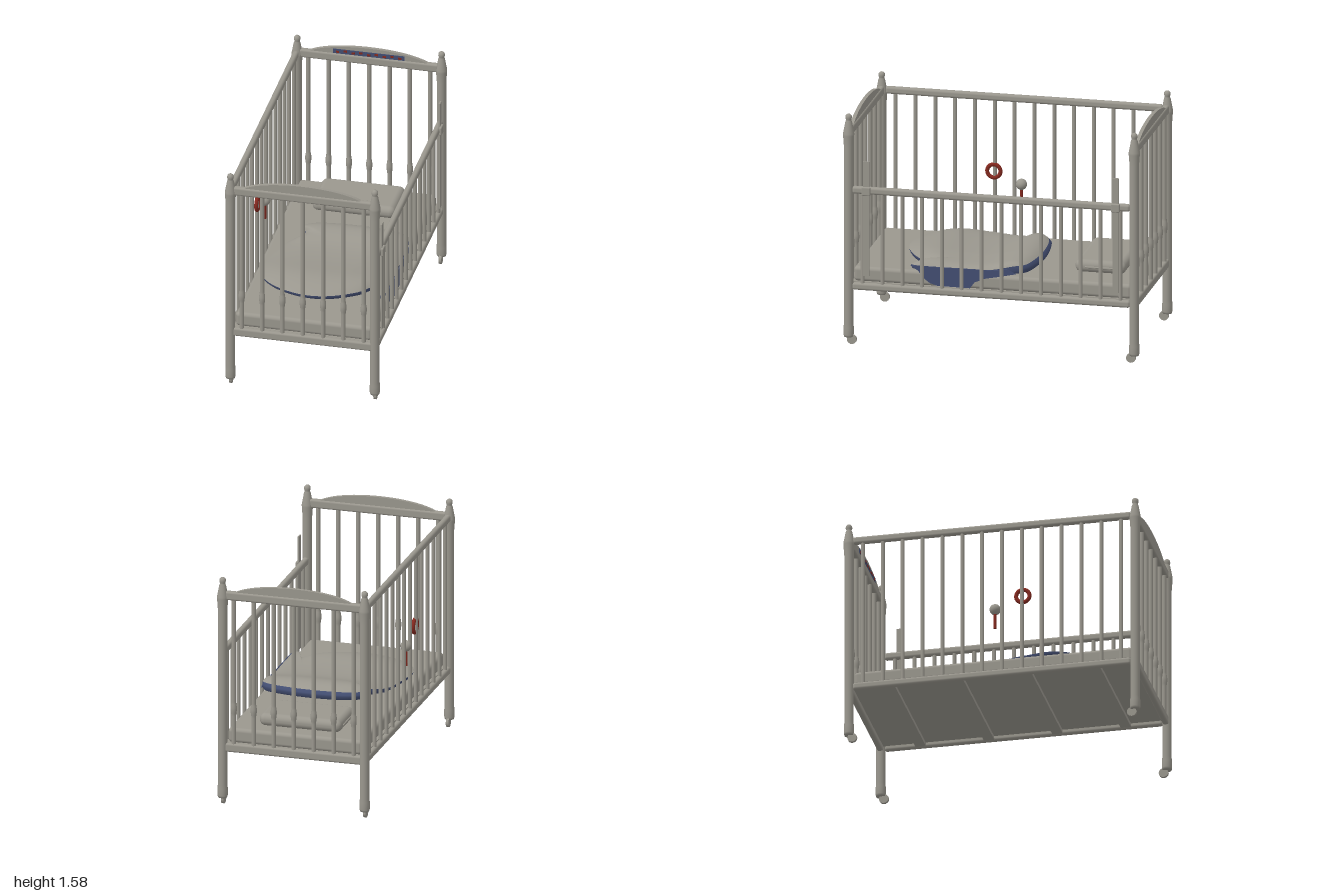
import * as THREE from 'three';
import { RoundedBoxGeometry } from 'three/addons/geometries/RoundedBoxGeometry.js';

const mat = (name, color, side = THREE.FrontSide) => {
  const m = new THREE.MeshStandardMaterial({ color, side });
  m.name = name;
  return m;
};

export function createModel() {
  const grey = mat('warm grey', 0x9a978e, THREE.DoubleSide);
  const blue = mat('blanket blue', 0x434e72, THREE.DoubleSide);
  const red = mat('toy red', 0x84291f);
  const crib = new THREE.Group();
  crib.name = 'crib';

  const add = (name, geo, material, x = 0, y = 0, z = 0, parent = crib) => {
    const m = new THREE.Mesh(geo, material);
    m.name = name;
    m.position.set(x, y, z);
    parent.add(m);
    return m;
  };
  const rounded = (w, h, d, r) => new RoundedBoxGeometry(w, h, d, 3, r);
  const lathe = (pts, n = 16) => new THREE.LatheGeometry(pts.map(p => new THREE.Vector2(...p)), n);

  // Corner posts with finials, on small casters
  const postGeo = lathe([[0, 0.05], [0.03, 0.05], [0.034, 0.065], [0.034, 0.115], [0.031, 0.14], [0.031, 0.7],
    [0.031, 1.35], [0.037, 1.43], [0.037, 1.445], [0.022, 1.525], [0.018, 1.532], [0.018, 1.54],
    [0.022, 1.55], [0.021, 1.565], [0.012, 1.575], [0, 1.577]], 20);
  const wheelGeo = new THREE.CylinderGeometry(0.032, 0.032, 0.018, 20).rotateZ(Math.PI / 2);
  for (const sx of [-1, 1]) for (const sz of [-1, 1]) {
    add('post', postGeo, grey, sx * 0.487, 0, sz * 0.962);
    add('casterWheel', wheelGeo, grey, sx * 0.487, 0.032, sz * 0.94);
  }

  // End panels: rails, arched crest and turned spindles
  const spindleGeo = lathe([[0.015, 0.42], [0.015, 0.62], [0.018, 0.64], [0.021, 0.66], [0.021, 0.68],
    [0.017, 0.705], [0.015, 0.72], [0.015, 1.43]], 12);
  const crest = new THREE.Shape();
  crest.moveTo(-0.41, 1.475);
  crest.lineTo(0.41, 1.475);
  crest.bezierCurveTo(0.25, 1.569, -0.25, 1.569, -0.41, 1.475);
  const crestGeo = new THREE.ExtrudeGeometry(crest, { depth: 0.024, bevelEnabled: false, curveSegments: 28 });
  for (const sz of [-1, 1]) {
    const end = new THREE.Group();
    end.name = sz > 0 ? 'footEnd' : 'headEnd';
    end.position.z = sz * 0.96;
    crib.add(end);
    add('topRail', rounded(0.94, 0.06, 0.04, 0.014), grey, 0, 1.455, 0, end);
    add('bottomRail', rounded(0.94, 0.06, 0.04, 0.014), grey, 0, 0.4, 0, end);
    add('crest', crestGeo, grey, 0, 0, -0.012, end);
    for (let i = -3; i <= 3; i++) add('spindle', spindleGeo, grey, i * 0.137, 0, 0, end);
  }

  // Painted band inside the head crest, with red dots
  add('crestBand', new THREE.BoxGeometry(0.48, 0.032, 0.004), blue, 0, 1.502, -0.946);
  for (let i = 0; i < 9; i++)
    add('crestDot', new THREE.BoxGeometry(0.022, 0.014, 0.004), red, -0.21 + i * 0.0525, 1.502 + (i % 2 ? 0.005 : -0.003), -0.943);

  // Side panels: fixed on the right, dropped on the left
  for (const sx of [-1, 1]) {
    const side = new THREE.Group();
    side.name = sx > 0 ? 'dropSide' : 'fixedSide';
    side.position.x = sx * 0.487;
    crib.add(side);
    const top = sx > 0 ? 1.06 : 1.455;
    add('sideTopRail', rounded(0.04, 0.05, 1.87, 0.017), grey, 0, top, 0, side);
    add('sideBottomRail', rounded(0.04, 0.05, 1.87, 0.017), grey, 0, 0.4, 0, side);
    const barGeo = new THREE.CylinderGeometry(0.0135, 0.0135, top - 0.4, 12, 1, true);
    for (let i = 0; i < 14; i++) add('sideBar', barGeo, grey, 0, (top + 0.4) / 2, (i - 6.5) * 0.1335, side);
  }

  // Guides and catches of the drop side
  for (const sz of [-1, 1]) {
    add('slideGuide', new THREE.BoxGeometry(0.01, 0.785, 0.042), grey, 0.505, 0.87, sz * 0.84);
    add('slideCatch', rounded(0.02, 0.06, 0.06, 0.008), grey, 0.513, 1.06, sz * 0.84);
  }

  // Mattress on a slatted base
  add('mattress', rounded(0.92, 0.1, 1.87, 0.025), grey, 0, 0.472, 0);
  add('basePanel', new THREE.BoxGeometry(0.94, 0.02, 1.9), grey, 0, 0.415, 0);
  for (let i = 0; i < 4; i++) add('baseSlat', new THREE.BoxGeometry(0.94, 0.028, 0.07), grey, 0, 0.394, (i - 1.5) * 0.46);

  // Pillow with a seam and slightly bulging sides
  const pillowGeo = new RoundedBoxGeometry(0.56, 0.085, 0.34, 5, 0.04);
  add('pillow', pillowGeo, grey, -0.005, 0.568, -0.68);
  add('pillowSeam', rounded(0.574, 0.012, 0.2, 0.005), grey, -0.005, 0.567, -0.68);

  // Blanket: rings of one outline, domed on top, with a rolled lining beneath
  const outline = new THREE.CatmullRomCurve3([[-0.27, -0.18], [-0.2, -0.245], [0, -0.28], [0.25, -0.27], [0.43, -0.22],
    [0.455, -0.15], [0.455, 0.1], [0.458, 0.38], [0.452, 0.52], [0.43, 0.555], [0.37, 0.44], [0.28, 0.54],
    [0.1, 0.64], [-0.06, 0.66], [-0.25, 0.6], [-0.37, 0.5], [-0.415, 0.38], [-0.395, 0.22], [-0.345, 0.03],
    [-0.28, -0.06], [-0.23, -0.12]].map(([x, z]) => new THREE.Vector3(x, 0, z)), true, 'centripetal').getPoints(120).slice(0, 120);
  const bump = (v, c, w) => Math.exp(-(((v - c) / w) ** 2));
  const fold = z => THREE.MathUtils.smoothstep(-z, -0.05, 0.2);
  const edgeY = z => 0.558 + 0.042 * fold(z);
  const blanketSheet = (height, shrink, up) => {
    const n = outline.length, rings = 24, pos = [], idx = [];
    for (let k = 0; k <= rings; k++) {
      const t = Math.sin((k / rings) * Math.PI / 2);
      for (const p of outline) {
        const x = 0.25 + (p.x - 0.25) * t;
        let z = 0.1 + (p.z - 0.1) * t;
        if (z < 0) z *= shrink(k / rings);
        pos.push(x, height(x, z, t), z);
      }
    }
    for (let k = 0; k < rings; k++) for (let i = 0; i < n; i++) {
      const a = k * n + i, b = k * n + (i + 1) % n, c = a + n, d = b + n;
      if (up) idx.push(a, d, c, a, b, d);
      else idx.push(a, c, d, a, d, b);
    }
    const g = new THREE.BufferGeometry();
    g.setAttribute('position', new THREE.Float32BufferAttribute(pos, 3));
    g.setIndex(idx);
    g.computeVertexNormals();
    return g;
  };
  const topHeight = (x, z, t) => {
    const h = 0.587 + 0.02 * bump(z, 0.46, 0.17) + 0.045 * bump(z, -0.16, 0.15) - 0.05 * Math.max(0, x - 0.2);
    return edgeY(z) + (h - edgeY(z)) * (1 - t ** (7 + 8 * fold(z)));
  };
  const underHeight = (x, z, t) => {
    const base = 0.526 + 0.018 * fold(z), u = Math.max(0, (t - 0.95) / 0.05);
    return base + (edgeY(z) - base) * (1 - Math.sqrt(Math.max(0, 1 - u * u)));
  };
  add('blanketTop', blanketSheet(topHeight, () => 0.93, true), grey);
  add('blanketLining', blanketSheet(underHeight, f => (f < 1 ? 1 : 0.93), false), blue);

  // Blanket corner hanging over the drop side
  const drape = new THREE.Shape([[-0.55, 0.556], [-0.5, 0.525], [-0.46, 0.475], [-0.42, 0.445], [-0.37, 0.43], [-0.15, 0.428],
    [-0.12, 0.47], [-0.05, 0.5], [0.05, 0.52], [0.16, 0.545], [0.1, 0.572], [0, 0.56]].map(p => new THREE.Vector2(...p)));
  const drapeGeo = new THREE.ExtrudeGeometry(drape, { depth: 0.006, bevelEnabled: false }).rotateY(Math.PI / 2);
  add('blanketDrape', drapeGeo, blue, 0.46);

  // Toys hanging on the fixed side
  add('toyRing', new THREE.TorusGeometry(0.045, 0.0135, 12, 32).rotateY(Math.PI / 2), red, -0.48, 0.948, 0.205);
  add('rattleBall', new THREE.SphereGeometry(0.037, 24, 16), grey, -0.476, 0.87, 0.018);
  add('rattleHandle', new THREE.CylinderGeometry(0.01, 0.01, 0.11, 12), red, -0.476, 0.788, 0.018);

  return crib;
}
